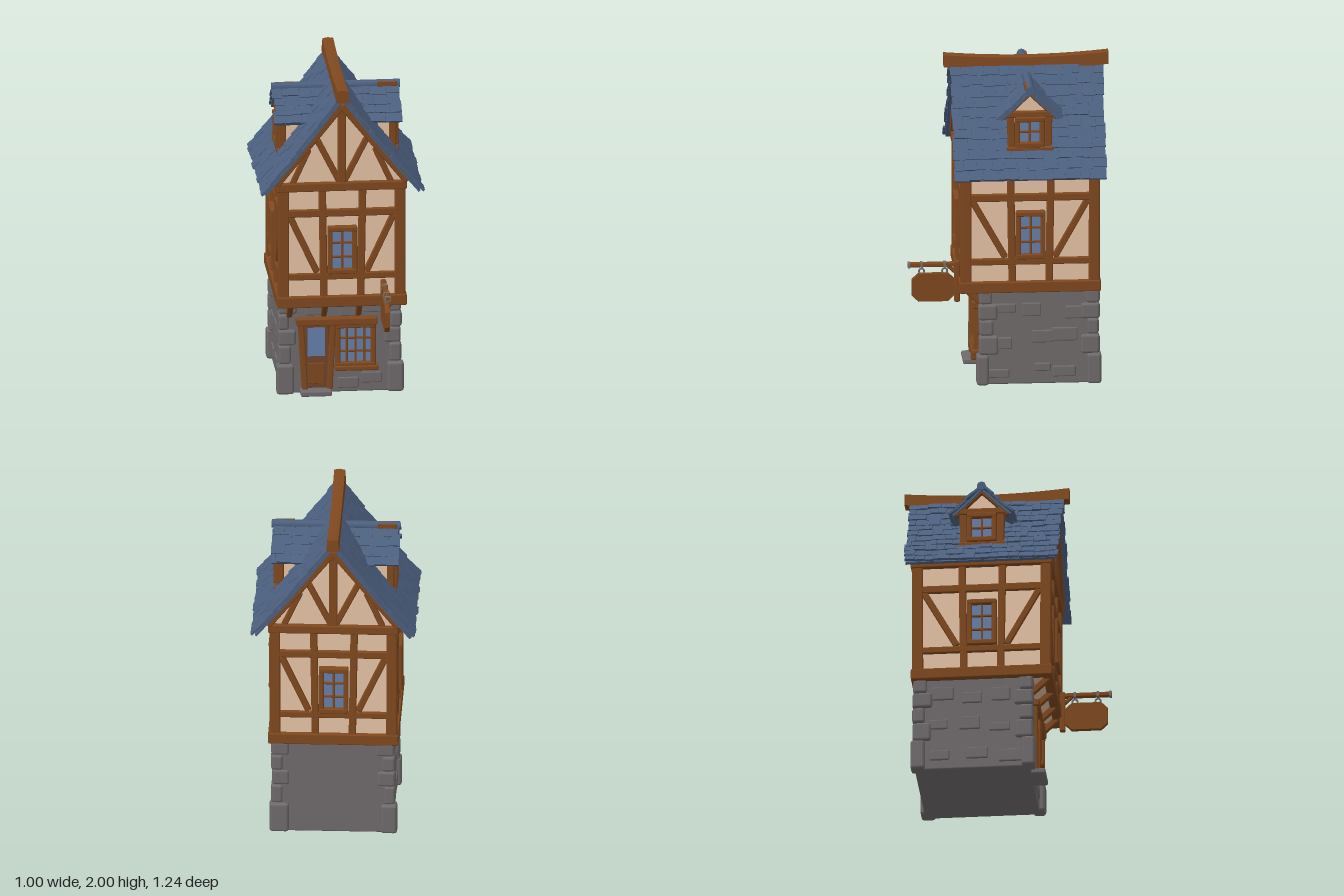
import * as THREE from 'three';
import { mergeGeometries } from 'three/addons/utils/BufferGeometryUtils.js';
import { RoundedBoxGeometry } from 'three/addons/geometries/RoundedBoxGeometry.js';

const material = (name, color) => {
  const m = new THREE.MeshStandardMaterial({ color });
  m.name = name;
  return m;
};

export function createModel() {
  const wood = material('timber', 0x80491f);
  const doorWood = material('doorWood', 0x70452c);
  const plaster = material('plaster', 0xe6c5a6);
  const slate = material('slate', 0x4c607f);
  const stone = material('stone', 0x706b6c);
  const glass = material('glass', 0x6680aa);
  const iron = material('iron', 0x77716f);

  const CZ = -0.12; // middle of the house in z
  let seed = 7;
  const rnd = (a = 0, b = 1) => {
    seed = (seed * 16807) % 2147483647;
    return a + (b - a) * (seed / 2147483647);
  };
  const group = (name, parent) => {
    const g = new THREE.Group();
    g.name = name;
    if (parent) parent.add(g);
    return g;
  };
  const add = (parent, name, geo, mat, x = 0, y = 0, z = 0) => {
    const m = new THREE.Mesh(geo, mat);
    m.name = name;
    m.position.set(x, y, z);
    parent.add(m);
    return m;
  };
  const block = (parent, name, mat, w, h, d, x, y, z, r = 0.008) =>
    add(parent, name, new RoundedBoxGeometry(w, h, d, 1, Math.min(r, w / 3, h / 3, d / 3)), mat, x, y, z);
  // Timber between two points of a wall plane
  const beam = (parent, name, x0, y0, x1, y1, w = 0.045, d = 0.04, z = 0, mat = wood) => {
    const m = block(parent, name, mat, Math.hypot(x1 - x0, y1 - y0), w, d, (x0 + x1) / 2, (y0 + y1) / 2, z);
    m.rotation.z = Math.atan2(y1 - y0, x1 - x0);
    return m;
  };
  const prism = (points, depth) =>
    new THREE.ExtrudeGeometry(new THREE.Shape(points.map(p => new THREE.Vector2(...p))), { depth, bevelEnabled: false });

  // Framed window with a grid of glazing bars
  const windowUnit = (parent, x0, y0, x1, y1, cols, rows, z) => {
    const g = group('window', parent);
    add(g, 'windowPane', new THREE.BoxGeometry(x1 - x0, y1 - y0, 0.008), glass, (x0 + x1) / 2, (y0 + y1) / 2, z);
    for (let i = 0; i <= cols; i++) {
      const x = x0 + (x1 - x0) * i / cols, edge = i % cols === 0;
      beam(g, 'windowUpright', x, y0, x, y1, edge ? 0.03 : 0.014, edge ? 0.05 : 0.02, z + 0.005);
    }
    for (let j = 0; j <= rows; j++) {
      const y = y0 + (y1 - y0) * j / rows, edge = j % rows === 0, o = edge ? 0.015 : 0;
      beam(g, 'windowCrossbar', x0 - o, y, x1 + o, y, edge ? 0.032 : 0.014, edge ? 0.055 : 0.02, z + 0.005);
    }
  };

  // Overlapping slates on both slopes of a roof, centred on z = 0
  const shingles = (points, halfZ, rows, cols) => {
    const curve = new THREE.SplineCurve(points.map(p => new THREE.Vector2(...p)));
    const step = curve.getLength() / rows, parts = [];
    for (const side of [0, Math.PI]) {
      for (let r = 0; r < rows; r++) {
        const u = (r + 0.5) / rows, p = curve.getPointAt(u), t = curve.getTangentAt(u);
        const angle = Math.atan2(t.y, t.x);
        const put = (geo, along, off, z, tilt) => {
          geo.rotateZ(angle + tilt);
          geo.translate(p.x + t.x * along - t.y * off, p.y + t.y * along + t.x * off, z);
          geo.rotateY(side);
          parts.push(geo);
        };
        put(new THREE.BoxGeometry(step * 1.06, 0.014, halfZ * 2 - 0.02), 0, -0.01, 0, 0);
        let z = -halfZ + rnd(-0.008, 0.008);
        while (z < halfZ - 0.02) {
          let w = (2 * halfZ / cols) * rnd(0.65, 1.35);
          if (z + w > halfZ - 0.025) w = halfZ - z + rnd(-0.008, 0.008);
          put(new THREE.BoxGeometry(step * rnd(1.2, 1.45), 0.014, w - 0.002), rnd(-0.006, 0.006),
            0.006 + rnd(0, 0.006), z + w / 2, rnd(0.04, 0.12));
          z += w;
        }
      }
    }
    return mergeGeometries(parts);
  };

  const house = group('house');

  // Stone ground floor
  const base = group('groundFloor', house);
  block(base, 'stoneWalls', stone, 0.71, 0.6, 0.70, 0, 0.3, CZ - 0.06, 0.01);
  for (const sx of [-1, 1]) for (const sz of [-1, 1]) {
    let y = 0;
    [0.19, 0.12, 0.1, 0.1, 0.09].forEach((h, i) => {
      const w = (i % 2 ? 0.075 : 0.11) + rnd(-0.01, 0.01), d = (i % 2 ? 0.12 : 0.08) + rnd(-0.01, 0.01);
      const out = i === 0 ? 0.012 : rnd(-0.006, 0.004);
      block(base, 'cornerStone', stone, w, h, d, sx * (0.375 + out - w / 2), y + h / 2,
        -0.175 + sz * (0.367 + out - d / 2), 0.018);
      y += h;
    });
  }
  for (const sx of [-1, 1]) for (let i = 0; i < 9; i++) {
    block(base, 'wallStone', stone, 0.03, rnd(0.05, 0.09), rnd(0.1, 0.17), sx * 0.349,
      0.07 + (i % 3) * 0.19 + rnd(0, 0.06), -0.37 + Math.floor(i / 3) * 0.2 + rnd(-0.05, 0.05), 0.009);
  }
  for (const [x, y] of [[-0.15, 0.53], [0.06, 0.52], [0.2, 0.54], [0.05, 0.06], [0.19, 0.09]])
    block(base, 'wallStone', stone, 0.13, 0.07, 0.03, x, y, 0.163, 0.009);
  block(base, 'doorStep', stone, 0.19, 0.035, 0.12, -0.15, 0.018, 0.195, 0.01);

  // Door and shop window
  const door = group('door', house);
  block(door, 'doorLeaf', doorWood, 0.16, 0.41, 0.03, -0.145, 0.235, 0.168);
  add(door, 'doorGlass', new THREE.BoxGeometry(0.105, 0.18, 0.008), glass, -0.145, 0.33, 0.185);
  block(door, 'doorPanel', wood, 0.1, 0.13, 0.012, -0.145, 0.13, 0.185, 0.004);
  beam(door, 'doorPost', -0.215, 0.03, -0.24, 0.45, 0.035, 0.06, 0.18);
  beam(door, 'doorPost', -0.065, 0.03, -0.045, 0.45, 0.035, 0.06, 0.18);
  beam(door, 'lintel', -0.27, 0.465, 0.225, 0.462, 0.045, 0.08, 0.18);
  windowUnit(house, -0.015, 0.185, 0.2, 0.435, 4, 3, 0.182);
  beam(house, 'shopWindowSill', -0.035, 0.165, 0.23, 0.165, 0.03, 0.07, 0.19);

  // Plastered upper floor and gables
  add(house, 'plasterWalls', prism([[-0.365, 0.6], [0.365, 0.6], [0.365, 1.42], [0, 1.88], [-0.365, 1.42]], 0.8),
    plaster, 0, 0, CZ - 0.4);

  // Timber framing of one wall, seen face on
  const framing = (name, half, gable, x, z, turn) => {
    const f = group(name, house);
    f.position.set(x, 0, z);
    f.rotation.y = turn;
    beam(f, 'sill', -half - 0.03, 0.625, half + 0.03, 0.625, 0.07, 0.06);
    beam(f, 'lowerRail', -half, 0.785, half, 0.785, 0.042);
    beam(f, 'upperRail', -half, 1.19, half, 1.19, 0.048);
    beam(f, 'topPlate', -half - 0.03, 1.36, half + 0.03, 1.36, 0.055, 0.06);
    for (const px of [-0.108, 0.115]) beam(f, 'stud', px, 0.65, px * 1.1, 1.34, 0.045);
    for (const s of [-1, 1]) {
      beam(f, 'cornerPost', s * (half - 0.012), 0.62, s * (half - 0.01), 1.37, 0.065, 0.045);
      beam(f, 'brace', s * (half - 0.05), 1.17, s * 0.15, 0.81, 0.04, 0.034);
    }
    windowUnit(f, -0.072, 0.82, 0.078, 1.09, 2, 3, 0.008);
    if (!gable) return;
    beam(f, 'kingPost', 0, 1.37, 0, 1.88, 0.05, 0.045);
    for (const s of [-1, 1]) {
      beam(f, 'rafter', 0, 1.885, s * 0.4, 1.385, 0.05, 0.06, 0.005);
      beam(f, 'gableBrace', s * 0.015, 1.39, s * 0.15, 1.66, 0.038, 0.036);
      beam(f, 'gableStrut', s * 0.3, 1.38, s * 0.2, 1.6, 0.036, 0.034);
    }
  };
  framing('frontFraming', 0.365, true, 0, 0.28, 0);
  framing('backFraming', 0.365, true, 0, -0.52, Math.PI);
  framing('leftFraming', 0.4, false, 0.365, CZ, Math.PI / 2);
  framing('rightFraming', 0.4, false, -0.365, CZ, -Math.PI / 2);

  // Brackets under the overhang
  for (const x of [-0.31, -0.1, 0.11, 0.28]) {
    const b = block(house, 'bracket', wood, 0.035, 0.04, 0.15, x, 0.555, 0.23);
    b.rotation.x = -0.75;
  }

  // Main roof with sagging ridge beam
  add(house, 'mainRoof', shingles([[0.01, 1.93], [0.25, 1.61], [0.475, 1.335]], 0.465, 11, 12), slate, 0, 0, CZ);
  const ridge = new THREE.BoxGeometry(0.078, 0.08, 1.0, 2, 1, 10);
  const rp = ridge.attributes.position;
  for (let i = 0; i < rp.count; i++) {
    const top = rp.getY(i) > 0;
    if (top) rp.setX(i, rp.getX(i) * 0.85);
    rp.setY(i, rp.getY(i) - 0.024 * (1 - (rp.getZ(i) / 0.5) ** 2) - (top && rp.getX(i) !== 0 ? 0.006 : 0));
  }
  ridge.computeVertexNormals();
  add(house, 'ridgeBeam', ridge, wood, 0, 1.96, CZ);

  // A dormer on each slope
  for (const s of [1, -1]) {
    const d = group(s > 0 ? 'leftDormer' : 'rightDormer', house);
    d.position.z = CZ;
    d.rotation.y = s * Math.PI / 2;
    add(d, 'dormerWalls', prism([[-0.12, 1.46], [0.12, 1.46], [0.12, 1.7], [0, 1.84], [-0.12, 1.7]], 0.24), plaster, 0, 0, 0.1);
    for (const e of [-1, 1]) {
      beam(d, 'dormerPost', e * 0.11, 1.46, e * 0.115, 1.72, 0.045, 0.045, 0.335);
      beam(d, 'dormerRafter', 0, 1.845, e * 0.165, 1.685, 0.03, 0.04, 0.345);
    }
    beam(d, 'dormerSill', -0.145, 1.485, 0.145, 1.485, 0.04, 0.06, 0.34);
    beam(d, 'dormerTie', -0.14, 1.71, 0.14, 1.71, 0.04, 0.05, 0.34);
    windowUnit(d, -0.075, 1.52, 0.075, 1.68, 2, 2, 0.345);
    add(d, 'dormerRoof', shingles([[0.005, 1.86], [0.1, 1.765], [0.182, 1.69]], 0.165, 4, 4), slate, 0, 0, 0.22);
    const cap = add(d, 'dormerRidge', new THREE.CylinderGeometry(0.028, 0.028, 0.34, 8), slate, 0, 1.866, 0.22);
    cap.rotation.x = Math.PI / 2;
    block(d, 'dormerRidgeTimber', wood, 0.02, 0.03, 0.12, -0.02, 1.872, 0.31, 0.004);
  }

  // Hanging signboard on its arm
  const sign = group('hangingSign', house);
  sign.position.x = 0.25;
  block(sign, 'signPost', wood, 0.035, 0.26, 0.035, 0, 0.63, 0.315);
  block(sign, 'signArm', wood, 0.035, 0.028, 0.32, 0, 0.738, 0.455);
  const strut = block(sign, 'signStrut', wood, 0.022, 0.022, 0.1, 0, 0.705, 0.345);
  strut.rotation.x = -0.75;
  const [w, h, c] = [0.13, 0.088, 0.04];
  const board = prism([[-w, -h + c], [-w + c, -h], [w - c, -h], [w, -h + c], [w, h - c], [w - c, h], [-w + c, h], [-w, h - c]], 0.03);
  board.translate(0, 0, -0.015);
  add(sign, 'signBoard', board, wood, 0, 0.595, 0.46).rotation.y = Math.PI / 2;
  for (const z of [0.39, 0.53]) {
    add(sign, 'signRing', new THREE.TorusGeometry(0.016, 0.006, 6, 10), iron, 0, 0.697, z).rotation.y = Math.PI / 2;
    block(sign, 'signStrap', iron, 0.041, 0.034, 0.016, 0, 0.738, z, 0.003);
  }
  block(sign, 'armCap', iron, 0.04, 0.034, 0.016, 0, 0.738, 0.606, 0.003);

  return house;
}
